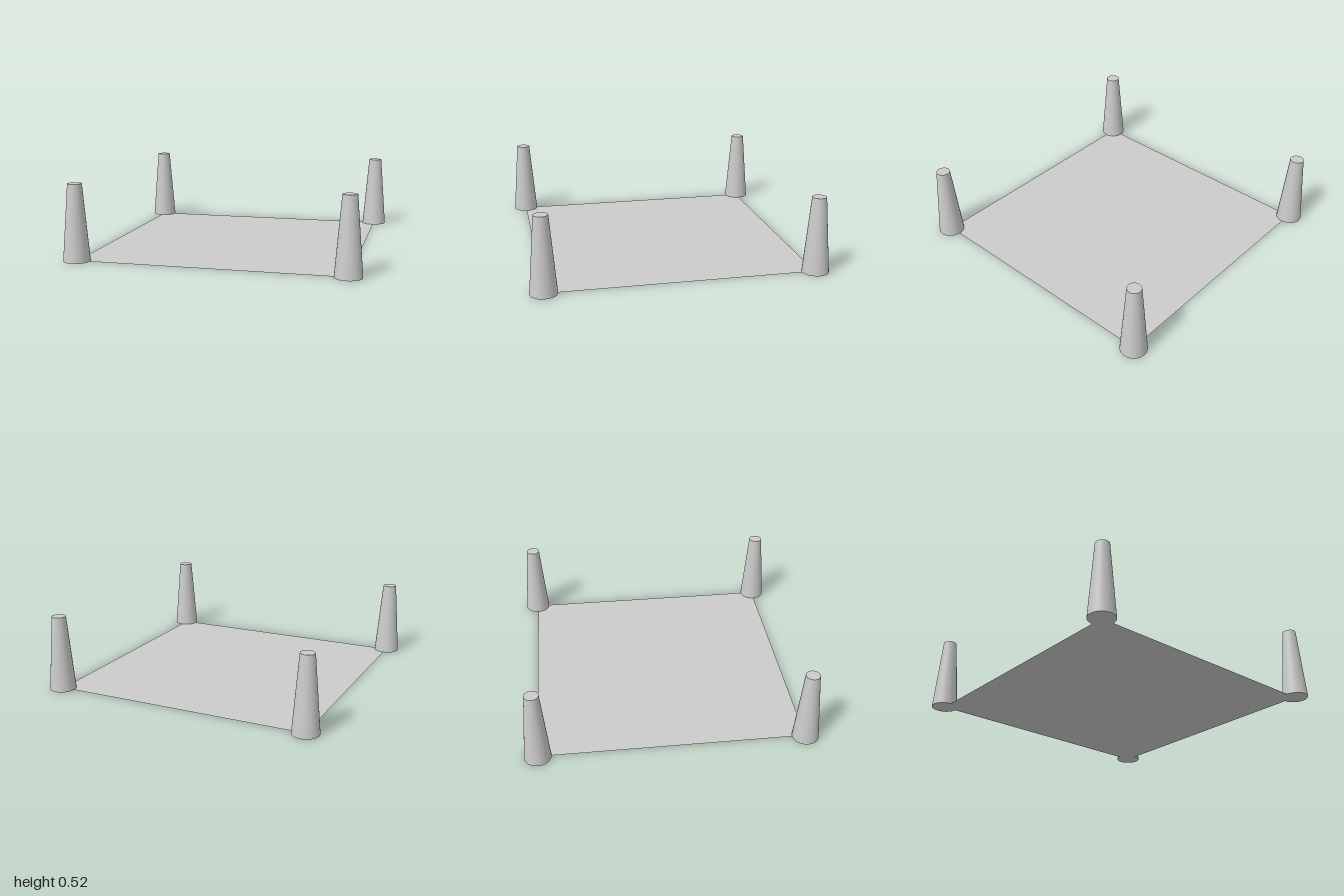
import * as THREE from 'three';

export function createModel() {
  const model = new THREE.Group();
  const grey = new THREE.MeshStandardMaterial({ color: 0xcccccc });
  const sheet = new THREE.MeshStandardMaterial({ color: 0xcccccc, side: THREE.DoubleSide });
  const offset = 0.909, height = 0.525;

  // Thin square floor whose corners sit at the post centres
  const floor = new THREE.Mesh(new THREE.PlaneGeometry(offset * 2, offset * 2), sheet);
  floor.name = 'floor';
  floor.rotation.x = -Math.PI / 2;
  model.add(floor);

  // Tapered round post at each corner
  const postGeometry = new THREE.CylinderGeometry(0.048, 0.091, height, 48);
  for (const [side, x] of [['Left', offset], ['Right', -offset]]) {
    for (const [end, z] of [['front', offset], ['back', -offset]]) {
      const post = new THREE.Mesh(postGeometry, grey);
      post.name = `${end}${side}Post`;
      post.position.set(x, height / 2, z);
      model.add(post);
    }
  }
  return model;
}
